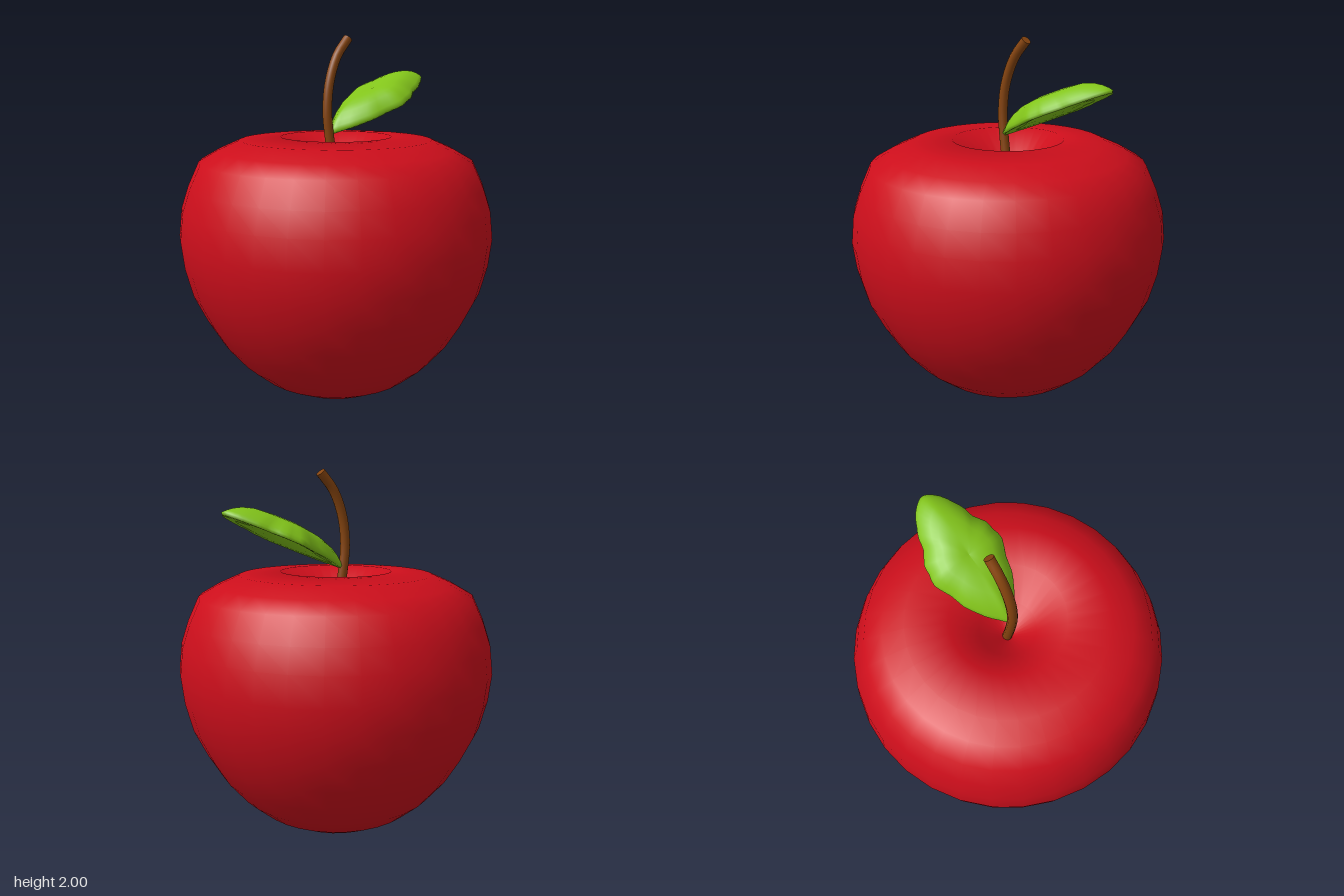
import * as THREE from 'three';

const v2 = ([x, y]) => new THREE.Vector2(x, y);

function part(name, geometry, color) {
  const mesh = new THREE.Mesh(geometry, new THREE.MeshStandardMaterial({ color }));
  mesh.name = name;
  return mesh;
}

// Fruit: a turned profile from the bottom, over the rim, into the dimple
function createFruit() {
  const profile = [
    [0, 0], [0.15, 0.02], [0.3, 0.065], [0.44, 0.14], [0.55, 0.235], [0.65, 0.355],
    [0.73, 0.49], [0.8, 0.635], [0.84, 0.79], [0.857, 0.94], [0.84, 1.09], [0.8, 1.21],
    [0.74, 1.34], [0.64, 1.397], [0.52, 1.45], [0.3, 1.465], [0.15, 1.33], [0, 1.22],
  ].map(v2);
  return part('fruit', new THREE.LatheGeometry(profile, 32), 0xcc0e1b);
}

// Stem: a bent tube with flat end caps
function createStem() {
  const radius = 0.026;
  const path = new THREE.CatmullRomCurve3([
    [-0.005, 1.2, -0.005], [-0.01, 1.45, 0.036], [-0.013, 1.6, 0.05],
    [-0.016, 1.75, 0.032], [-0.02, 1.89, -0.025], [-0.022, 1.983, -0.105],
  ].map(p => new THREE.Vector3(...p)));
  const stem = new THREE.Group();
  stem.name = 'stem';
  stem.add(part('stemTube', new THREE.TubeGeometry(path, 20, radius, 12), 0x87450f));
  for (const [t, sign] of [[0, -1], [1, 1]]) {
    const cap = part('stemCap', new THREE.CircleGeometry(radius, 12), 0x87450f);
    const point = path.getPointAt(t);
    cap.position.copy(point);
    cap.lookAt(point.clone().addScaledVector(path.getTangentAt(t), sign));
    stem.add(cap);
  }
  return stem;
}

// Leaf: concentric rings of a wavy outline, domed above, hollowed below
function createLeaf() {
  const half = [
    [0, 0], [0.05, 0.05], [0.12, 0.14], [0.165, 0.25], [0.205, 0.38], [0.19, 0.46],
    [0.145, 0.55], [0.118, 0.63], [0.05, 0.72], [0, 0.745],
  ];
  const mirrored = half.slice(1, -1).reverse().map(([x, l]) => [-x, l]);
  const outline = new THREE.CatmullRomCurve3(
    [...half, ...mirrored].map(([x, l]) => new THREE.Vector3(x, 0, -l)), true);
  const n = 56, middle = -0.39;
  const rings = [0, 0.2, 0.4, 0.6, 0.75, 0.87, 0.95, 1]
    .map(s => [s, 0.015 + 0.092 * (1 - s ** 4)]);
  rings.push([0.98, 0], [0.75, 0.005], [0.55, 0.012], [0.47, 0.035], [0.3, 0.06], [0, 0.07]);

  const positions = [], indices = [];
  rings.forEach(([s, h], i) => {
    for (let j = 0; j < n; j++) {
      const p = outline.getPoint(j / n);
      const wave = 1 + 0.025 * s * s * Math.cos(j * Math.PI * 2 * 14 / n);
      // the dimpled centre and lightly rippled upper skin
      const pit = i === 0 ? -0.008 : 0;
      positions.push(p.x * s * wave, h + pit, middle + (p.z - middle) * s);
      if (i < rings.length - 1) {
        const a = i * n + j, b = i * n + (j + 1) % n;
        indices.push(a, a + n, b + n, a, b + n, b);
      }
    }
  });
  const geometry = new THREE.BufferGeometry();
  geometry.setAttribute('position', new THREE.Float32BufferAttribute(positions, 3));
  geometry.setIndex(indices);
  geometry.computeVertexNormals();

  const leaf = part('leaf', geometry, 0x82c41a);
  leaf.material.side = THREE.DoubleSide;
  leaf.rotation.x = 0.415;
  leaf.position.set(-0.005, 1.475, 0.03);
  return leaf;
}

export function createModel() {
  const apple = new THREE.Group();
  apple.name = 'apple';
  apple.add(createFruit(), createStem(), createLeaf());
  return apple;
}
